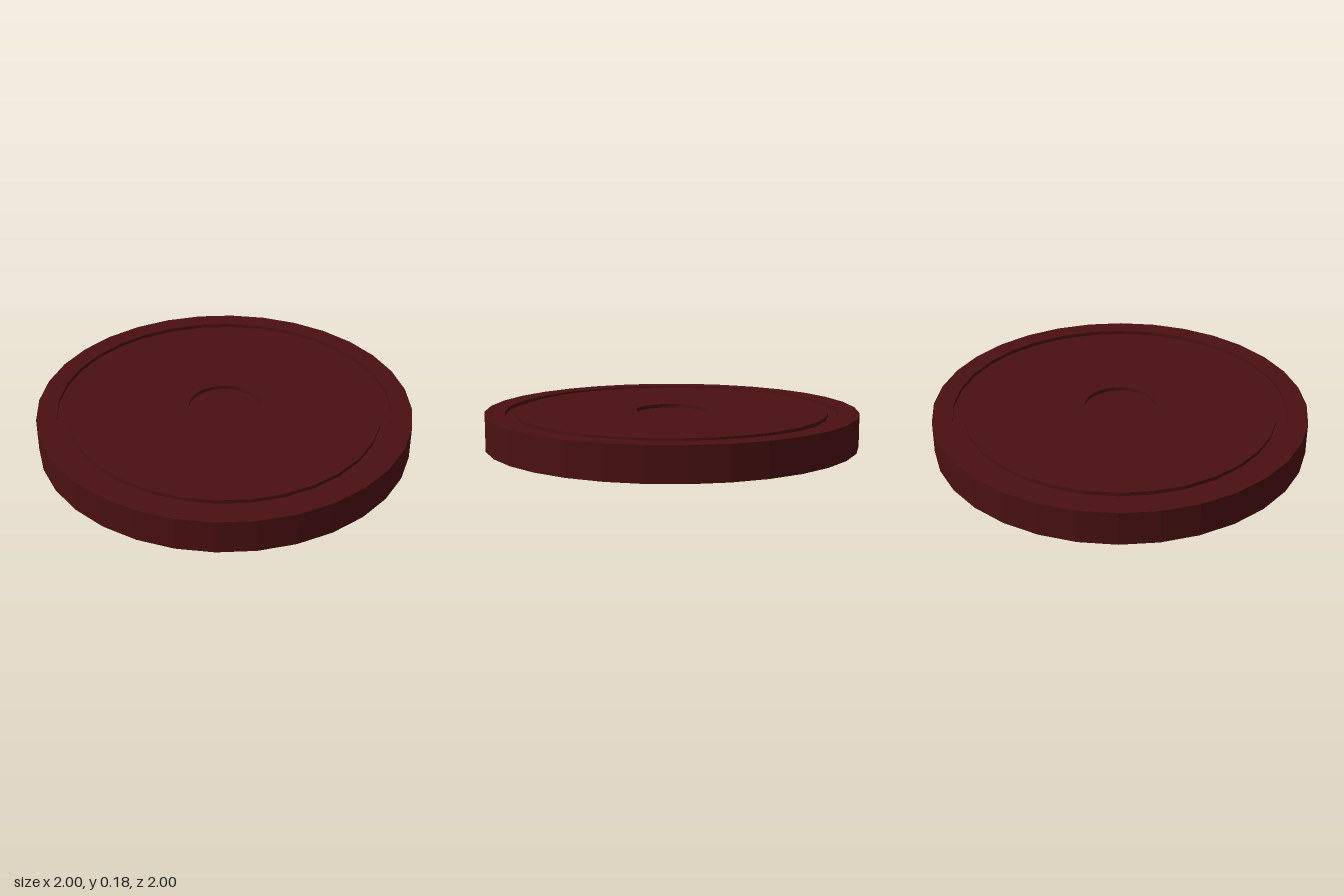
import * as THREE from 'three';

const SIDES = 32;
const TOP = 0.18;
const FLOOR = 0.16; // level of the groove and the centre recess

export function createModel() {
  const model = new THREE.Group();
  model.name = 'disc';
  const material = new THREE.MeshStandardMaterial({
    color: 0x4a1012, flatShading: true, side: THREE.DoubleSide,
  });

  // Revolve a profile of [radius, height] points, listed from the outside in
  const addRing = (name, profile) => {
    const points = profile.map(([r, y]) => new THREE.Vector2(r, y));
    const mesh = new THREE.Mesh(new THREE.LatheGeometry(points, SIDES), material);
    mesh.name = name;
    model.add(mesh);
  };

  // Thin outer wall, open underneath, with the flat rim on top
  addRing('outerWall', [[1, 0], [1, TOP]]);
  addRing('rim', [[1, TOP], [0.893, TOP]]);
  // Shallow groove between the rim and the plate
  addRing('groove', [[0.893, TOP], [0.893, FLOOR], [0.835, FLOOR], [0.835, TOP]]);
  // Main plate and the round recess in its middle
  addRing('plate', [[0.835, TOP], [0.19, TOP]]);
  addRing('centreRecess', [[0.19, TOP], [0.19, FLOOR], [0, FLOOR]]);

  return model;
}
